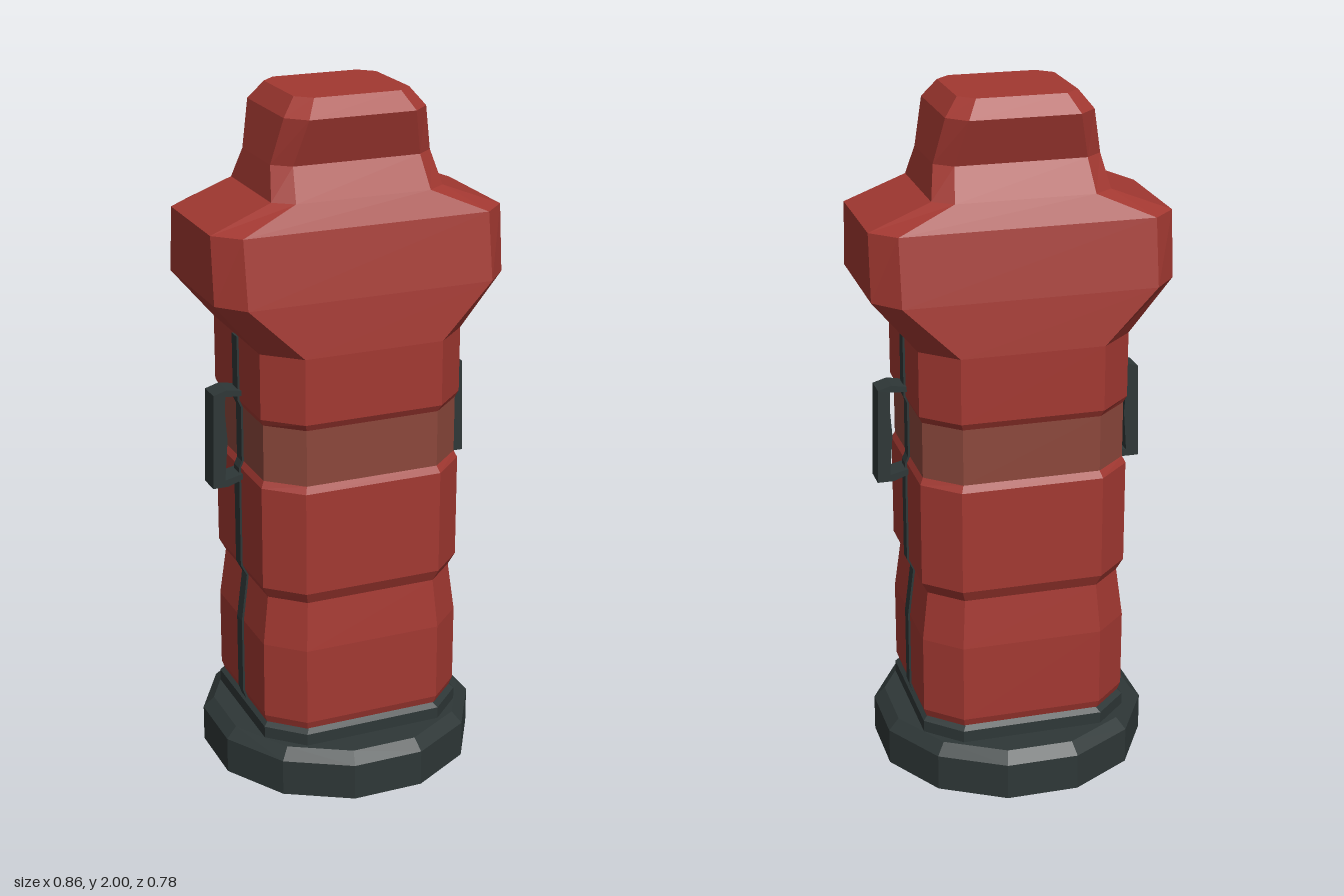
import * as THREE from 'three';

const red = new THREE.MeshStandardMaterial({ color: 0xa23831 });
red.name = 'red vinyl';
const brown = new THREE.MeshStandardMaterial({ color: 0x8b473b });
brown.name = 'brown band';
const dark = new THREE.MeshStandardMaterial({ color: 0x2e3737 });
dark.name = 'dark rubber';

// Faceted mesh from a geometry, one normal per face
function facetedMesh(geometry, material, name) {
  const flat = geometry.index ? geometry.toNonIndexed() : geometry;
  flat.computeVertexNormals();
  const mesh = new THREE.Mesh(flat, material);
  mesh.name = name;
  return mesh;
}

// Chamfered rectangle: half width, half depth, and where the chamfers begin
function octagon([y, hx, hz, ix, iz]) {
  return [[hx, iz], [ix, hz], [-ix, hz], [-hx, iz], [-hx, -iz], [-ix, -hz], [ix, -hz], [hx, -iz]]
    .map(([x, z]) => [x, y, z]);
}

// Skin chamfered rectangles from bottom to top, with optional caps
function loft(sections, capBottom, capTop) {
  const rings = sections.map(octagon);
  const n = 8;
  const index = [];
  for (let r = 0; r < rings.length - 1; r++) {
    for (let i = 0; i < n; i++) {
      const a = r * n + i, b = r * n + (i + 1) % n;
      index.push(a, a + n, b, b, a + n, b + n);
    }
  }
  const top = (rings.length - 1) * n;
  for (let i = 1; i < n - 1; i++) {
    if (capBottom) index.push(0, i, i + 1);
    if (capTop) index.push(top, top + i + 1, top + i);
  }
  const geometry = new THREE.BufferGeometry();
  geometry.setAttribute('position', new THREE.Float32BufferAttribute(rings.flat(2), 3));
  geometry.setIndex(index);
  return geometry;
}

// Outline in x and y, extruded symmetrically in z
function slab(points, width) {
  const shape = new THREE.Shape(points.map(([x, y]) => new THREE.Vector2(x, y)));
  return new THREE.ExtrudeGeometry(shape, { depth: width, bevelEnabled: false }).translate(0, 0, -width / 2);
}

export function createModel() {
  const model = new THREE.Group();
  model.name = 'trainingDummy';

  // Lower body with a pinched groove
  const bandLow = [0.945, 0.293, 0.264, 0.198, 0.178];
  const bandHigh = [1.11, 0.293, 0.264, 0.198, 0.178];
  const lower = [
    [0.18, 0.292, 0.265, 0.2, 0.178],
    [0.21, 0.302, 0.275, 0.205, 0.184],
    [0.44, 0.302, 0.275, 0.205, 0.184],
    [0.585, 0.284, 0.258, 0.195, 0.175],
    [0.62, 0.302, 0.275, 0.205, 0.184],
    [0.925, 0.302, 0.275, 0.205, 0.184],
    bandLow,
  ];
  model.add(facetedMesh(loft(lower, true, false), red, 'lowerBody'));

  // Recessed waist band
  model.add(facetedMesh(loft([bandLow, bandHigh], false, false), brown, 'waistBand'));

  // Chest, shoulders, neck and head
  const upper = [
    bandHigh,
    [1.13, 0.302, 0.275, 0.205, 0.184],
    [1.32, 0.302, 0.275, 0.205, 0.184],
    [1.47, 0.428, 0.26, 0.36, 0.182],
    [1.66, 0.428, 0.229, 0.36, 0.162],
    [1.73, 0.252, 0.196, 0.197, 0.155],
    [1.82, 0.235, 0.148, 0.186, 0.106],
    [1.95, 0.207, 0.189, 0.155, 0.137],
    [2.0, 0.168, 0.151, 0.126, 0.11],
  ];
  model.add(facetedMesh(loft(upper, false, true), red, 'chestAndHead'));

  // Collar joining the body to the base
  const collar = [
    [0.13, 0.305, 0.282, 0.208, 0.19],
    [0.175, 0.305, 0.282, 0.208, 0.19],
    [0.19, 0.288, 0.264, 0.196, 0.176],
  ];
  model.add(facetedMesh(loft(collar, true, true), dark, 'collar'));

  // Twelve-sided foot, bevelled on top and hollowed underneath
  const footProfile = [[0, 0.035], [0.235, 0.035], [0.26, 0], [0.405, 0], [0.405, 0.108], [0.373, 0.14], [0, 0.14]];
  const foot = new THREE.LatheGeometry(footProfile.map(([x, y]) => new THREE.Vector2(x, y)), 12, Math.PI / 12);
  model.add(facetedMesh(foot, dark, 'foot'));

  // Side seams follow the body's contour; grip handles stand off from them
  const contour = [
    ...lower.map(([y, x]) => [x + 0.006, y]),
    ...upper.slice(0, 3).map(([y, x]) => [x + 0.006, y]),
  ];
  const seam = [...contour, ...contour.map(([x, y]) => [x - 0.02, y]).reverse()];
  const grip = [
    [0.29, 0.9], [0.345, 0.88], [0.392, 0.88], [0.385, 1.16], [0.345, 1.172], [0.29, 1.162],
    [0.29, 1.148], [0.35, 1.152], [0.352, 1.1], [0.346, 1.02], [0.355, 0.9], [0.29, 0.915],
  ];
  for (const [side, turn] of [['left', 0], ['right', Math.PI]]) {
    const group = new THREE.Group();
    group.name = side + 'Side';
    group.add(facetedMesh(slab(seam, 0.04), dark, side + 'Seam'));
    group.add(facetedMesh(slab(grip, 0.07), dark, side + 'Handle'));
    group.rotation.y = turn;
    model.add(group);
  }

  return model;
}
